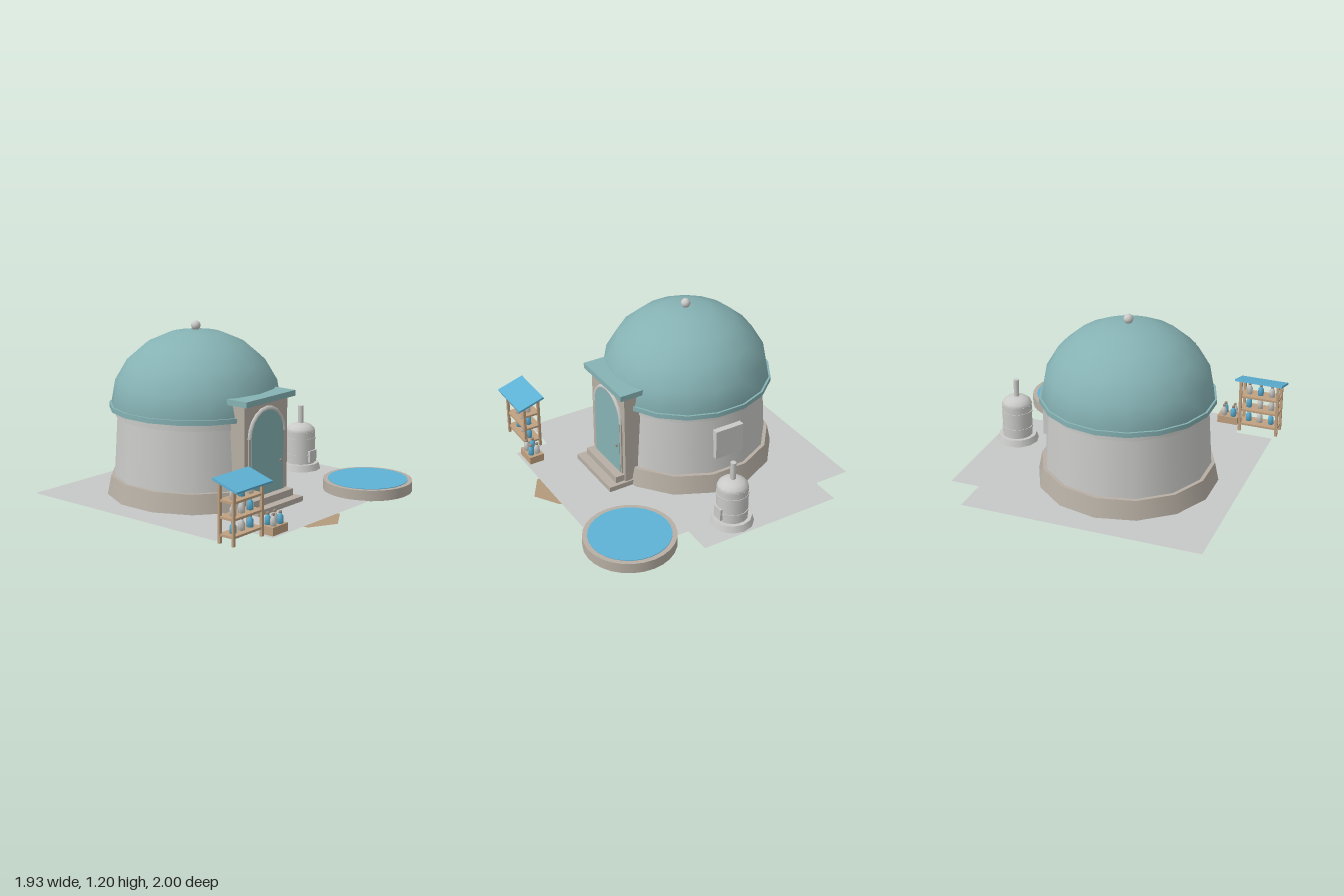
import * as THREE from 'three';

const mat = (name, color, side = THREE.FrontSide) => {
  const m = new THREE.MeshStandardMaterial({ color, side });
  m.name = name;
  return m;
};

export function createModel() {
  const root = new THREE.Group();
  root.name = 'domedHouse';
  const teal = mat('teal', 0x86b2b4);
  const plaster = mat('plaster', 0xcacac8);
  const stone = mat('stone', 0xb7afa4);
  const paving = mat('paving', 0xc5c8c7, THREE.DoubleSide);
  const blue = mat('blue', 0x5eb2d6);
  const wood = mat('wood', 0xc0a180);
  const earth = mat('earth', 0xb39a7c, THREE.DoubleSide);
  const cork = mat('cork', 0x9a8a7a);

  const add = (name, geo, m, x = 0, y = 0, z = 0, parent = root) => {
    const mesh = new THREE.Mesh(geo, m);
    mesh.name = name;
    mesh.position.set(x, y, z);
    parent.add(mesh);
    return mesh;
  };
  // box given by its limits on each axis
  const box = (name, m, x0, x1, y0, y1, z0, z1, parent) =>
    add(name, new THREE.BoxGeometry(x1 - x0, y1 - y0, z1 - z0), m,
      (x0 + x1) / 2, (y0 + y1) / 2, (z0 + z1) / 2, parent);
  // upright cylinder from y0 to y1
  const drum = (name, m, rTop, rBottom, y0, y1, x, z, sides, parent) =>
    add(name, new THREE.CylinderGeometry(rTop, rBottom, y1 - y0, sides), m, x, (y0 + y1) / 2, z, parent);

  // paved ground, with notched corners
  const outline = [[-0.918, -1], [0.749, -1], [0.749, -0.74], [0.955, -0.74], [0.955, 0.3], [0.749, 0.3],
    [0.749, 0.5], [0.385, 0.5], [0.385, 0.873], [-0.65, 0.873], [-0.65, 0.63], [-0.918, 0.63]];
  const ground = new THREE.ShapeGeometry(new THREE.Shape(outline.map(([x, z]) => new THREE.Vector2(x, -z))));
  add('paving', ground.rotateX(-Math.PI / 2), paving, 0, 0.013, 0);

  // shallow earth mound under the entrance edge
  const mound = new THREE.CircleGeometry(1, 8).rotateX(-Math.PI / 2).scale(0.245, 1, 0.363);
  const mp = mound.attributes.position;
  for (let i = 1; i < mp.count; i++) mp.setY(i, 0.004 * (1 + Math.cos(i * Math.PI / 2)));
  mound.computeVertexNormals();
  add('earthMound', mound, earth, -0.13, 0, 0.627);

  // round house
  const cx = -0.13, cz = -0.215;
  drum('wallFooting', stone, 0.595, 0.622, 0.01, 0.145, cx, cz, 14);
  drum('wall', plaster, 0.542, 0.57, 0.14, 0.61, cx, cz, 14);
  drum('wallTopBand', plaster, 0.553, 0.553, 0.555, 0.607, cx, cz, 14);
  drum('domeRim', teal, 0.597, 0.597, 0.605, 0.638, cx, cz, 18);
  const dome = new THREE.SphereGeometry(1, 18, 5, 0, Math.PI * 2, 0, Math.PI / 2);
  dome.rotateY(Math.PI / 2).scale(0.583, 0.505, 0.583);
  add('dome', dome, teal, cx, 0.637, cz);
  add('finial', new THREE.SphereGeometry(0.033, 14, 10), plaster, cx, 1.167, cz);
  box('wallPanel', plaster, 0.36, 0.45, 0.265, 0.48, -0.32, -0.105);

  // entrance
  const porch = new THREE.Group();
  porch.name = 'entrance';
  porch.position.x = cx;
  root.add(porch);
  box('porchBody', stone, -0.225, 0.225, 0.04, 0.727, 0.15, 0.4, porch);
  box('canopy', teal, -0.257, 0.257, 0.727, 0.766, 0.15, 0.443, porch);
  box('lowerStep', stone, -0.237, 0.237, 0.014, 0.05, 0.2, 0.53, porch);
  box('upperStep', stone, -0.21, 0.21, 0.05, 0.098, 0.2, 0.468, porch);
  box('doorLower', teal, -0.17, 0.17, 0.098, 0.5, 0.38, 0.412, porch);
  const arch = new THREE.CylinderGeometry(0.172, 0.172, 0.032, 10, 1, false, Math.PI / 2, Math.PI);
  add('doorArch', arch.rotateX(Math.PI / 2), teal, 0, 0.5, 0.396, porch);
  add('archTrim', new THREE.TorusGeometry(0.18, 0.016, 6, 10, Math.PI), plaster, 0, 0.5, 0.402, porch);
  for (const s of [-1, 1]) {
    const x = s * 0.18;
    box('doorJamb', stone, x - 0.01, x + 0.01, 0.098, 0.5, 0.38, 0.41, porch);
  }
  add('doorKnob', new THREE.SphereGeometry(0.01, 8, 6), cork, 0.137, 0.303, 0.418, porch);

  // round pool
  drum('poolBasin', stone, 0.31, 0.31, 0.01, 0.083, 0.65, 0.685, 28);
  drum('poolWater', blue, 0.277, 0.277, 0.08, 0.087, 0.65, 0.685, 28);

  // boiler
  const boiler = new THREE.Group();
  boiler.name = 'boiler';
  boiler.position.set(0.794, 0, -0.012);
  root.add(boiler);
  drum('boilerBase', plaster, 0.135, 0.15, 0.01, 0.06, 0, 0, 12, boiler);
  drum('boilerBody', plaster, 0.108, 0.108, 0.055, 0.295, 0, 0, 14, boiler);
  for (const y of [0.115, 0.235]) drum('boilerBand', plaster, 0.112, 0.112, y, y + 0.015, 0, 0, 14, boiler);
  const cap = new THREE.SphereGeometry(1, 14, 4, 0, Math.PI * 2, 0, Math.PI / 2).scale(0.108, 0.063, 0.108);
  add('boilerCap', cap, plaster, 0, 0.293, 0, boiler);
  drum('boilerChimney', plaster, 0.02, 0.02, 0.34, 0.48, 0, 0, 8, boiler);
  box('boilerHatch', plaster, -0.04, 0.038, 0.075, 0.16, 0.08, 0.118, boiler);

  // bottle with a rounded stopper
  const bottleShape = [[0, 0], [0.021, 0], [0.021, 0.046], [0.011, 0.062], [0.01, 0.07], [0, 0.07]]
    .map(([r, y]) => new THREE.Vector2(r, y));
  const bottleGeo = new THREE.LatheGeometry(bottleShape, 8);
  const stopperGeo = new THREE.SphereGeometry(0.012, 8, 6);
  const bottle = (m, x, y, z) => {
    add('bottle', bottleGeo, m, x, y, z);
    add('bottleStopper', stopperGeo, cork, x, y + 0.075, z);
  };

  // market stall
  for (const x of [-0.933, -0.66])
    for (const z of [0.68, 0.79])
      box('stallPost', wood, x - 0.01, x + 0.01, 0.012, z < 0.7 ? 0.4 : 0.375, z - 0.009, z + 0.009);
  const stock = [[blue, plaster, blue], [plaster, plaster, blue], [plaster, blue, plaster]];
  [0.075, 0.187, 0.293].forEach((y, row) => {
    box('stallShelf', wood, -0.94, -0.653, y - 0.015, y, 0.675, 0.795);
    stock[row].forEach((m, i) => bottle(m, -0.877 + i * 0.083, y, 0.738));
  });
  const roof = add('stallRoof', new THREE.BoxGeometry(0.345, 0.015, 0.202), blue, -0.794, 0.393, 0.746);
  roof.rotation.x = 0.29;

  // crate of bottles
  box('crate', wood, -0.623, -0.472, 0.012, 0.068, 0.743, 0.85);
  [[plaster, -0.583, 0.82], [blue, -0.513, 0.82], [blue, -0.583, 0.775], [plaster, -0.513, 0.775]]
    .forEach(([m, x, z]) => bottle(m, x, 0.066, z));

  return root;
}
